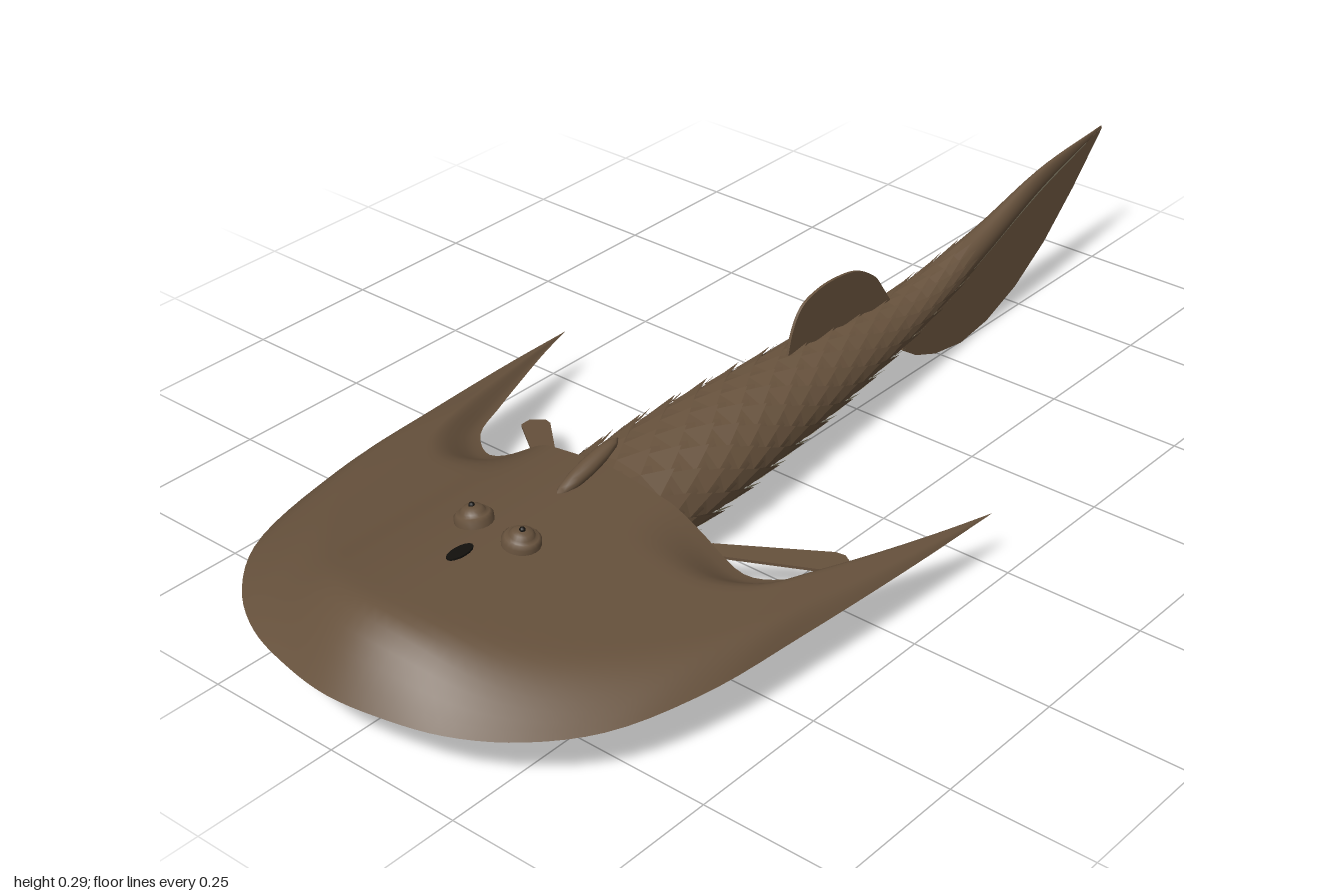
import * as THREE from 'three';

const mat = (name, color, double) => {
  const m = new THREE.MeshStandardMaterial({ color });
  m.name = name;
  if (double) m.side = THREE.DoubleSide;
  return m;
};
const smooth = (a, b, x) => THREE.MathUtils.smoothstep(x, a, b);

// Indexed grid surface from fn(u, v), u and v in 0..1
function surface(nu, nv, fn, flip = false) {
  const pos = [], idx = [];
  for (let j = 0; j <= nv; j++)
    for (let i = 0; i <= nu; i++) pos.push(...fn(i / nu, j / nv));
  for (let j = 0; j < nv; j++)
    for (let i = 0; i < nu; i++) {
      const a = j * (nu + 1) + i, b = a + 1, c = a + nu + 1, d = c + 1;
      idx.push(...(flip ? [a, c, b, b, c, d] : [a, b, c, b, d, c]));
    }
  const g = new THREE.BufferGeometry();
  g.setAttribute('position', new THREE.Float32BufferAttribute(pos, 3));
  g.setIndex(idx);
  g.computeVertexNormals();
  return g;
}

// Curve mirrored across x = 0 from its left-hand half
function mirroredCurve(half) {
  const other = half.slice(1).reverse().map(([x, y, z]) => [-x, y, z]);
  return new THREE.CatmullRomCurve3([...other, ...half].map((p) => new THREE.Vector3(...p)));
}

// Shield outlines: x, dome height, z
const outer = mirroredCurve([[0, 0.1, 1], [0.1, 0.09, 0.988], [0.2, 0.067, 0.96], [0.29, 0.052, 0.905],
  [0.37, 0.042, 0.81], [0.42, 0.034, 0.65], [0.44, 0.022, 0.45], [0.457, 0.01, 0.2], [0.465, 0, 0]]);
const inner = mirroredCurve([[0, 0, 0.4], [0.1, 0, 0.4], [0.2, 0, 0.388], [0.28, 0, 0.385],
  [0.335, 0, 0.345], [0.37, 0, 0.265], [0.405, 0, 0.175], [0.44, 0, 0.08], [0.465, 0, 0]]);

function shieldPoint(u, t, top) {
  const o = outer.getPoint(u), n = inner.getPoint(u);
  const x = THREE.MathUtils.lerp(o.x, n.x, t), z = THREE.MathUtils.lerp(o.z, n.z, t);
  const ax = Math.abs(x);
  const rise = Math.sin(Math.min(1, t / (0.2 + 0.25 * Math.min(1, (ax / 0.35) ** 2))) * Math.PI / 2);
  const rear = 1 - smooth(0.78, 1, t) * smooth(0.12, 0.3, ax);
  if (top) return [x, 0.1 + Math.max(0, o.y) * rise * rear, z];
  const rim = 0.022 * Math.min(1, o.y / 0.04) * smooth(0, 0.35, t) * rear;
  const across = 0.8 * (1 - smooth(0.08, 0.21, ax)) + 0.2 * Math.max(0, 1 - ax / 0.08);
  const belly = 0.066 * across * (1 - smooth(0.42, 0.72, z));
  return [x, 0.1 - Math.max(0, rim) - belly, z];
}

// Trunk stations: z, top y, bottom y, half width
const stations = [[0.43, 0.19, 0.03, 0.115], [0.2, 0.198, 0.033, 0.105], [0, 0.197, 0.045, 0.085],
  [-0.2, 0.19, 0.068, 0.065], [-0.4, 0.182, 0.103, 0.043], [-0.6, 0.215, 0.155, 0.024],
  [-0.8, 0.265, 0.22, 0.01], [-1, 0.281, 0.274, 0.001]];
const trunkTop = new THREE.CatmullRomCurve3(stations.map(([z, t, , w]) => new THREE.Vector3(w, t, z)));
const trunkLow = new THREE.CatmullRomCurve3(stations.map(([z, , b]) => new THREE.Vector3(0, b, z)));

function trunkPoint(angle, v, lift = 0) {
  const p = trunkTop.getPoint(v), b = trunkLow.getPoint(v).y;
  return [Math.cos(angle) * (p.x + lift), (p.y + b) / 2 + Math.sin(angle) * ((p.y - b) / 2 + lift), p.z];
}

// Staggered, tilted diamond scales; keeps only the back or the belly ones
function scales(onBelly) {
  const pos = [], cols = 14, rows = 24, half = Math.PI / cols;
  for (let r = 0; r < rows; r++)
    for (let c = 0; c < cols; c++) {
      const a = (2 * c + (r % 2)) * half, v = 0.035 + r * 0.027;
      if ((Math.sin(a) < -0.45) !== onBelly) continue;
      const k = 1 - 0.6 * r / rows;
      const front = trunkPoint(a, Math.max(0, v - 0.032), -0.003 * k);
      const rear = trunkPoint(a, v + 0.032, 0.011 * k);
      const s1 = trunkPoint(a - half, v, 0.003 * k), s2 = trunkPoint(a + half, v, 0.003 * k);
      pos.push(...front, ...s2, ...s1, ...s1, ...s2, ...rear);
    }
  const g = new THREE.BufferGeometry();
  g.setAttribute('position', new THREE.Float32BufferAttribute(pos, 3));
  g.computeVertexNormals();
  return g;
}

// Thin plate cut from a smooth or straight outline
function plate(points, depth, rounded) {
  const pts = points.map((p) => new THREE.Vector2(...p));
  const shape = new THREE.Shape();
  shape.moveTo(pts[0].x, pts[0].y);
  if (rounded) shape.splineThru(pts.slice(1));
  else pts.slice(1).forEach((p) => shape.lineTo(p.x, p.y));
  const g = new THREE.ExtrudeGeometry(shape, { depth, bevelEnabled: false, curveSegments: 24 });
  return g.translate(0, 0, -depth / 2);
}

export function createModel() {
  const model = new THREE.Group();
  const brown = mat('brown skin', 0x66513c, true);
  const pale = mat('pale olive underside', 0xaba386, true);
  const dark = mat('black', 0x12100d);
  const add = (name, geometry, material, parent = model) => {
    const m = new THREE.Mesh(geometry, material);
    m.name = name;
    parent.add(m);
    return m;
  };

  // Head shield, its rear wall split at rim height
  add('shieldTop', surface(72, 28, (u, t) => shieldPoint(u, t, true)), brown);
  add('shieldUnderside', surface(72, 28, (u, t) => shieldPoint(u, t, false), true), pale);
  const rearWall = (top) => surface(72, 1, (u, v) => {
    const p = shieldPoint(u, 1, top);
    return (v === 0) === top ? p : [p[0], 0.1, p[2]];
  });
  add('rearWallUpper', rearWall(true), brown);
  add('rearWallLower', rearWall(false), pale);

  // Trunk and tail
  const low = 0.47;
  add('trunkBack', surface(20, 48, (u, v) => trunkPoint(-low + u * (Math.PI + 2 * low), v), true), brown);
  add('trunkBelly', surface(10, 48, (u, v) => trunkPoint(Math.PI + low + u * (Math.PI - 2 * low), v), true), pale);
  add('backScales', scales(false), brown);
  add('bellyScales', scales(true), pale);

  // Upright fins, drawn in z and y
  add('dorsalFin', plate([[-0.05, 0.18], [-0.065, 0.235], [-0.09, 0.272], [-0.13, 0.287], [-0.18, 0.29],
    [-0.24, 0.28], [-0.29, 0.25], [-0.32, 0.21], [-0.34, 0.18]], 0.005, true).rotateY(-Math.PI / 2), brown);
  add('tailFin', plate([[-0.38, 0.12], [-0.38, 0.062], [-0.42, 0.035], [-0.48, 0.012], [-0.56, 0], [-0.64, 0.012],
    [-0.73, 0.047], [-0.82, 0.105], [-0.91, 0.185], [-1, 0.277], [-0.8, 0.24], [-0.6, 0.18]], 0.005)
    .rotateY(-Math.PI / 2), brown);

  // Ringed eye profile
  const eyeProfile = [[0.031, -0.014], [0.031, 0.005], [0.026, 0.01], [0.021, 0.009], [0.02, 0.014],
    [0.015, 0.019], [0.008, 0.021], [0, 0.022]].map((p) => new THREE.Vector2(...p));

  for (const side of [1, -1]) {
    const label = side > 0 ? 'left' : 'right';

    // Paddle fin beside the trunk, drooping outward
    const g = plate([[0.145, 0.385], [0.165, 0.335], [0.31, 0.205], [0.325, 0.2], [0.352, 0.213],
      [0.352, 0.233], [0.2, 0.345]].map(([x, z]) => [x * side, z]), 0.005).rotateX(Math.PI / 2);
    const p = g.attributes.position;
    for (let i = 0; i < p.count; i++) p.setY(i, p.getY(i) + 0.08 - (Math.abs(p.getX(i)) - 0.2) * 0.155);
    g.computeVertexNormals();
    add(label + 'PaddleFin', g, brown);

    // Gill opening between shield and trunk
    const gill = add(label + 'GillOpening', new THREE.SphereGeometry(1, 16, 12), dark);
    gill.scale.set(0.024, 0.072, 0.022);
    gill.position.set(0.1 * side, 0.115, 0.4);

    // Eye with a small pupil, tilted outward
    const eye = add(label + 'Eye', new THREE.LatheGeometry(eyeProfile, 20), brown);
    eye.position.set(0.05 * side, 0.201, 0.64);
    eye.rotation.z = -0.15 * side;
    const pupil = add(label + 'Pupil', new THREE.SphereGeometry(0.005, 10, 8), dark, eye);
    pupil.position.y = 0.022;
  }

  // Nostril and crest spine on the shield
  const nostril = add('nostril', new THREE.CylinderGeometry(1, 1, 0.006, 16), dark);
  nostril.scale.set(0.012, 1, 0.026);
  nostril.position.set(0, 0.2, 0.72);
  const crest = add('crestSpine', new THREE.SphereGeometry(1, 12, 10), brown);
  crest.scale.set(0.015, 0.014, 0.075);
  crest.position.set(0, 0.214, 0.44);
  crest.rotation.x = 0.26;

  return model;
}
